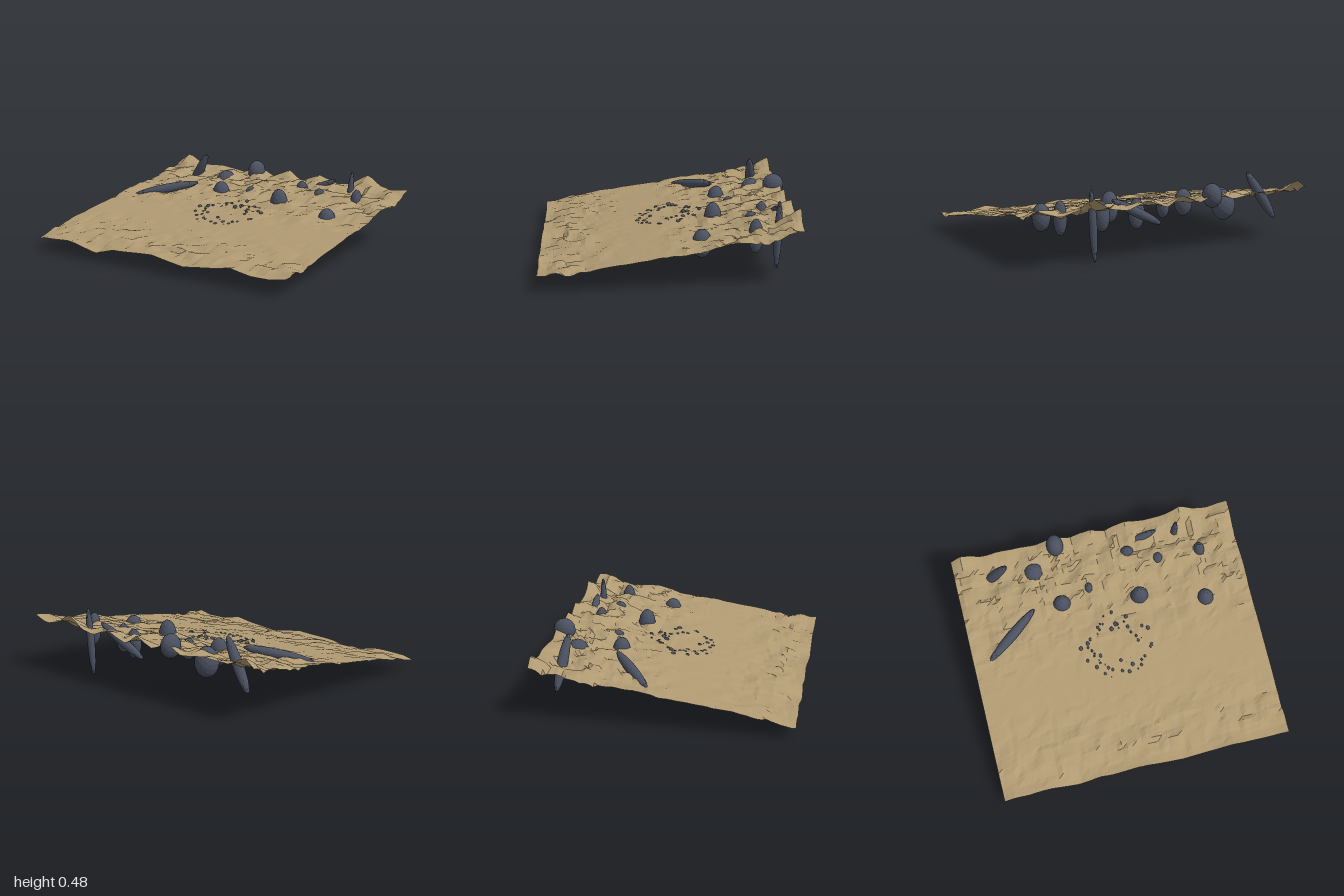
import * as THREE from 'three';

const sandMat = new THREE.MeshStandardMaterial({ color: 0xb09a72, flatShading: true, side: THREE.DoubleSide });
const rockMat = new THREE.MeshStandardMaterial({ color: 0x4a5060, flatShading: true });

// Repeatable hash and smooth value noise in -1..1
function hash(i, j) {
  const s = Math.sin(i * 127.1 + j * 311.7) * 43758.5453;
  return (s - Math.floor(s)) * 2 - 1;
}
function noise(x, y) {
  const i = Math.floor(x), j = Math.floor(y);
  const u = THREE.MathUtils.smoothstep(x - i, 0, 1), v = THREE.MathUtils.smoothstep(y - j, 0, 1);
  const mix = THREE.MathUtils.lerp;
  return mix(mix(hash(i, j), hash(i + 1, j), u), mix(hash(i, j + 1), hash(i + 1, j + 1), u), v);
}

// Linear lookup in a list of [x, height] pairs
function profile(points, x) {
  for (let k = 1; k < points.length; k++) {
    const [x0, y0] = points[k - 1], [x1, y1] = points[k];
    if (x <= x1) return y0 + (y1 - y0) * (x - x0) / (x1 - x0);
  }
  return points[points.length - 1][1];
}

// Crest heights along the back and front edges
const BACK = [[-1, .37], [-.92, .43], [-.8, .36], [-.6, .37], [-.4, .34], [-.27, .4], [-.15, .34], [0, .4],
  [.1, .33], [.25, .39], [.4, .34], [.52, .36], [.65, .44], [.75, .37], [.87, .34], [1, .38]];
const FRONT = [[-1, .08], [-.93, .1], [-.7, .11], [-.47, .06], [-.33, .1], [0, .12], [.25, .08],
  [.5, .11], [.6, .13], [.75, .1], [.9, .1], [1, .12]];
const Z0 = -.835, Z1 = .85, CALM = .2;

// Ground height: a gentle slope whose roughness grows away from the calm strip
function groundHeight(x, z) {
  const base = .2 - .155 * (z - CALM);
  const s = Math.abs(z - CALM) / (CALM - Z0);
  const n = noise(x * 9 + 3, z * 11 + 7) * .65 + noise(x * 21 + 40, z * 24 + 11) * .5;
  const rough = base + n * .05 * s;
  const edge = z < CALM ? profile(BACK, x) : profile(FRONT, x);
  const d = Math.min(z - Z0, Z1 - z);
  return THREE.MathUtils.lerp(edge, rough, THREE.MathUtils.smoothstep(d, -.02, .16));
}

function buildGround() {
  const geo = new THREE.PlaneGeometry(2, Z1 - Z0, 56, 56).rotateX(-Math.PI / 2);
  const p = geo.attributes.position;
  for (let k = 0; k < p.count; k++) {
    const x = p.getX(k), z = p.getZ(k) + (Z0 + Z1) / 2;
    const wobble = noise(x * 12 + 70, z * 14) * .008 * Math.abs(z - CALM);
    p.setXYZ(k, x, groundHeight(x, z), z + wobble);
  }
  geo.computeVertexNormals();
  const mesh = new THREE.Mesh(geo, sandMat);
  mesh.name = 'ground';
  return mesh;
}

// Faceted ellipsoid stretched between two end points
const rockGeo = new THREE.IcosahedronGeometry(1, 2);
function stone(name, a, b, rx, rz = rx) {
  const from = new THREE.Vector3(...a), to = new THREE.Vector3(...b);
  const axis = to.clone().sub(from);
  const mesh = new THREE.Mesh(rockGeo, rockMat);
  mesh.name = name;
  mesh.position.addVectors(from, to).multiplyScalar(.5);
  mesh.scale.set(rx, axis.length() / 2, rz);
  mesh.quaternion.setFromUnitVectors(new THREE.Vector3(0, 1, 0), axis.normalize());
  return mesh;
}

export function createModel() {
  const model = new THREE.Group();
  model.name = 'rockyGround';
  model.add(buildGround());

  // Boulders: x, z, bottom, top, radius in x, radius in z
  const boulders = new THREE.Group();
  boulders.name = 'boulders';
  [
    [-.45, -.65, .17, .375, .08, .082],
    [-.265, -.785, .29, .45, .06, .075],
    [-.31, -.38, .165, .355, .063, .06],
    [-.10, -.45, .18, .33, .038, .052],
    [.22, -.64, .17, .375, .055, .045],
    [.23, -.31, .155, .375, .064, .06],
    [.42, -.545, .155, .36, .05, .054],
    [.72, -.54, .16, .39, .044, .048],
    [.68, -.20, .125, .315, .062, .065],
  ].forEach(([x, z, y0, y1, rx, rz]) => {
    boulders.add(stone('boulder', [x, y0, z], [x, y1, z], rx, rz));
  });
  model.add(boulders);

  // Long pointed stones, partly buried
  const shards = new THREE.Group();
  shards.name = 'longStones';
  shards.add(
    stone('lyingStone', [-.89, .235, -.095], [-.505, .325, -.37], .035),
    stone('uprightStone', [.56, 0, -.70], [.592, .475, -.71], .026),
    stone('leaningStone', [-.84, .15, -.70], [-.63, .48, -.66], .036),
    stone('leaningStone', [.07, .2, -.70], [.455, .395, -.72], .032),
  );
  model.add(shards);

  // Ring of pebbles on the calm middle
  const pebbles = new THREE.Group();
  pebbles.name = 'pebbles';
  const COUNT = 60;
  for (let k = 0; k < COUNT; k++) {
    const a = k / COUNT * Math.PI * 2 + hash(k, 1) * .08;
    const r = .19 + hash(k, 2) * .065;
    const x = Math.cos(a) * r * 1.05, z = Math.sin(a) * r * .9 - .01;
    const size = .009 + hash(k, 3) * .005;
    const y = groundHeight(x, z) - .004 + hash(k, 5) * .006;
    const h = size * (1 + .4 * hash(k, 4));
    pebbles.add(stone('pebble', [x, y - h, z], [x + size * .5 * hash(k, 6), y + h, z], size, size * 1.2));
  }
  model.add(pebbles);
  return model;
}
